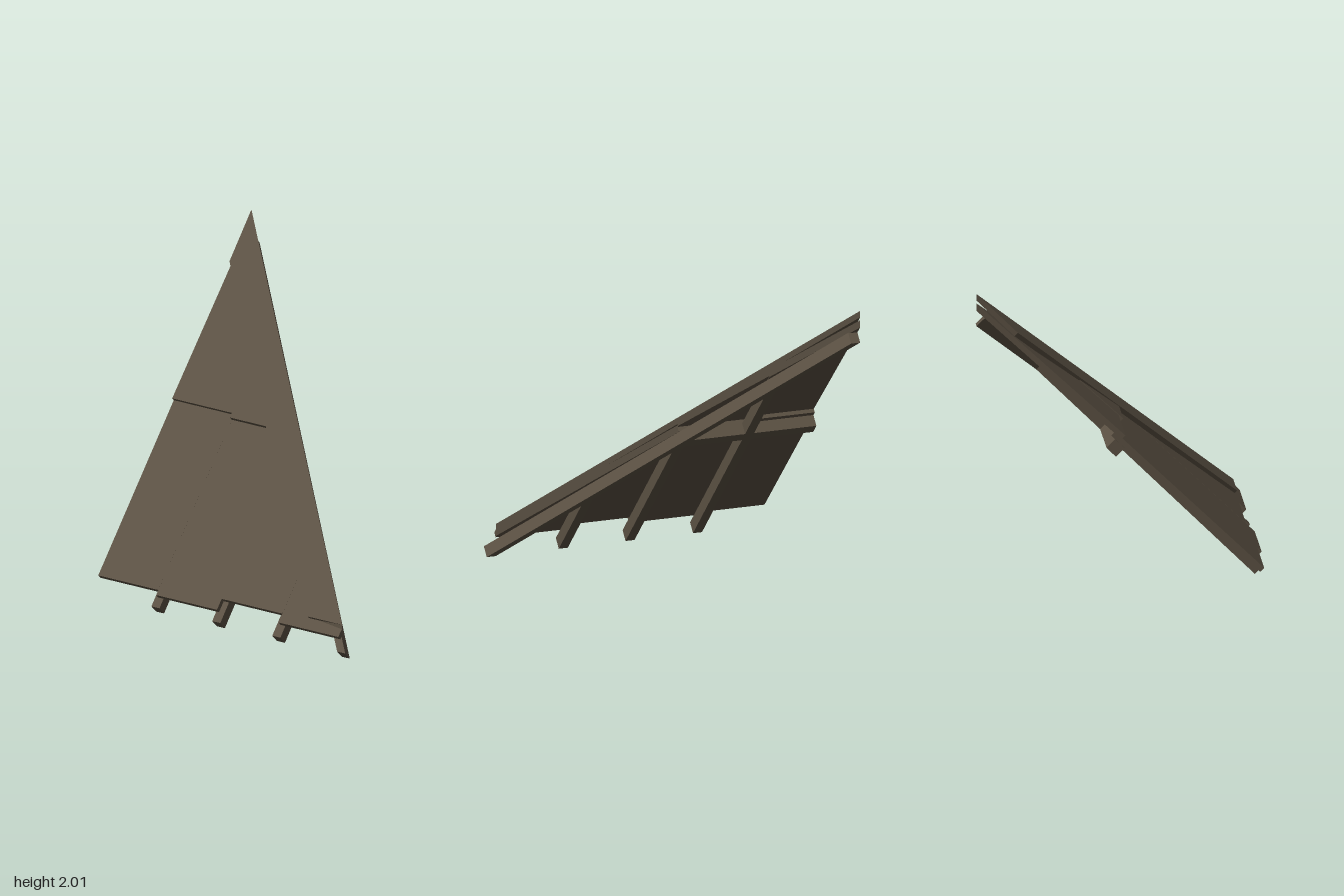
import * as THREE from 'three';

const R2 = Math.SQRT2;
const wood = new THREE.MeshStandardMaterial({ color: 0x5b5143 });
wood.name = 'weathered wood';

// Prism in slope space: x across, u up the slope, w out from the slope.
// points: [x, u] counter-clockwise; u = null puts the corner on the vertical hip plane x = z.
// The top surface is at w = top + tilt * (u - u0).
function slab(name, points, { top, thick, tilt = 0, u0 = 0 }) {
  const layer = (t) => points.map(([x, u]) => {
    const v = u === null ? (t - tilt * u0 - R2 * x) / (1 - tilt) : u;
    return [x, v, t + tilt * (v - u0)];
  });
  const hi = layer(top), lo = layer(top - thick), n = points.length;
  const pos = [];
  const tri = (a, b, c) => pos.push(...a, ...b, ...c);
  for (let i = 1; i < n - 1; i++) {
    tri(hi[0], hi[i], hi[i + 1]);
    tri(lo[0], lo[i + 1], lo[i]);
  }
  for (let i = 0; i < n; i++) {
    const j = (i + 1) % n;
    tri(lo[i], lo[j], hi[j]);
    tri(lo[i], hi[j], hi[i]);
  }
  const geo = new THREE.BufferGeometry();
  geo.setAttribute('position', new THREE.Float32BufferAttribute(pos, 3));
  geo.computeVertexNormals();
  const mesh = new THREE.Mesh(geo, wood);
  mesh.name = name;
  return mesh;
}

export function createModel() {
  const group = new THREE.Group();
  group.name = 'hipRoofCorner';
  const slope = new THREE.Group();
  slope.name = 'roofSlope';
  slope.rotation.x = -Math.PI / 4;
  group.add(slope);

  const left = -0.925;
  const beam = { top: 0.692, thick: 0.077 };
  const eave = -0.615;
  const hipX = (u) => 0.895 - (u - eave) / 1.418;
  const hipU = (x) => eave + 1.418 * (0.895 - x);

  // Sheared hip rafter along the diagonal
  slope.add(slab('hipRafter',
    [[0.865, eave], [0.925, eave], [-0.865, 1.923], [left, 1.923]], beam));

  // Common rafters, mitred into the hip rafter
  for (const x of [-0.48, -0.03, 0.415]) {
    const a = x - 0.03, b = x + 0.03;
    slope.add(slab('rafter', [[a, eave], [b, eave], [b, hipU(b)], [a, hipU(a)]], beam));
  }

  // Cross batten
  slope.add(slab('crossBatten',
    [[left, 0.68], [hipX(0.68), 0.68], [hipX(0.764), 0.764], [left, 0.764]], beam));

  // Lower boards: x0, x1, eave end, upper end (null = cut at the hip)
  for (const [x0, x1, u0, u1] of [
    [left, -0.48, -0.516, 0.8],
    [-0.48, -0.03, -0.552, 0.75],
    [-0.03, 0.42, -0.474, null],
    [0.42, 0.862, -0.537, null],
  ]) {
    slope.add(slab('lowerBoard', [[x0, u0], [x1, u0], [x1, u1], [x0, u1]],
      { top: 0.743, thick: 0.035, tilt: -0.012, u0 }));
  }

  // Upper boards, lapped over the lower ones
  for (const [x0, x1, u0, top] of [
    [left, -0.48, 0.735, 0.755],
    [-0.48, -0.03, 0.7, 0.761],
  ]) {
    slope.add(slab('upperBoard', [[x0, u0], [x1, u0], [x1, null], [x0, null]],
      { top, thick: 0.035, tilt: -0.027, u0 }));
  }

  // Hip trim board on top
  slope.add(slab('hipTrim',
    [[0.61, -0.46], [0.865, null], [left, null], [left, 1.704]],
    { top: 0.764, thick: 0.03 }));

  return group;
}
